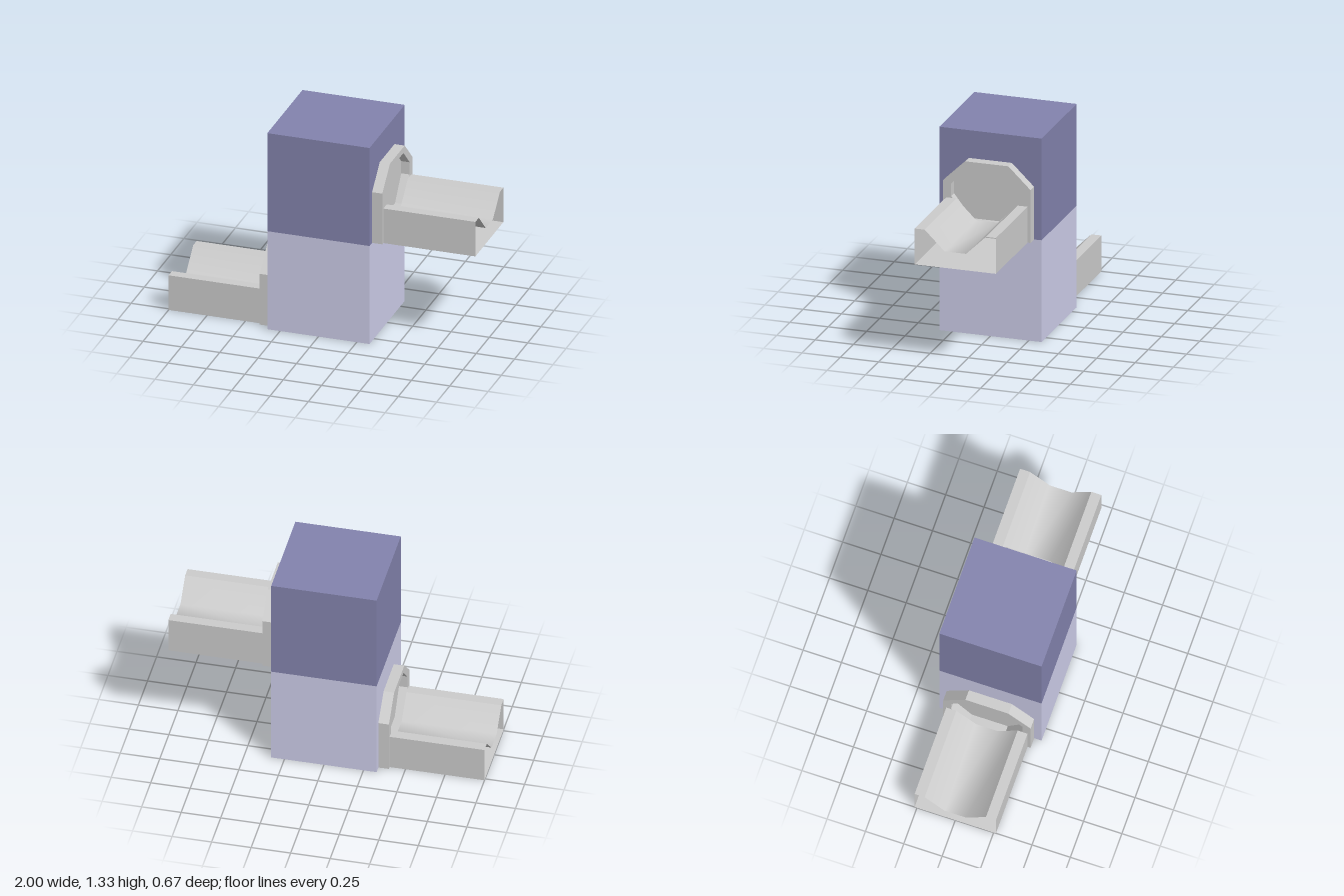
import * as THREE from 'three';

const grey = () => new THREE.MeshStandardMaterial({ color: 0xcccccc, side: THREE.DoubleSide });

// Mirrors the right half of an outline (top to bottom) to close it.
const mirrored = (half) => [...half, ...half.map(([x, y]) => [-x, y]).reverse()]
  .map(([x, y]) => new THREE.Vector2(x, y));

function add(parent, name, geometry, material) {
  const mesh = new THREE.Mesh(geometry, material);
  mesh.name = name;
  parent.add(mesh);
  return mesh;
}

// Open-ended sheet: sweeps a (z, y) profile along x.
function sweep(profile, x0, x1) {
  const positions = [], index = [];
  profile.forEach(([z, y], i) => {
    positions.push(x0, y, z, x1, y, z);
    if (i > 0) {
      const a = 2 * i - 2;
      index.push(a, a + 1, a + 2, a + 1, a + 3, a + 2);
    }
  });
  const g = new THREE.BufferGeometry();
  g.setAttribute('position', new THREE.Float32BufferAttribute(positions, 3));
  g.setIndex(index);
  g.computeVertexNormals();
  return g;
}

// Collar and open trough pointing along +x, standing on y = 0.
function createPort(name) {
  const port = new THREE.Group();
  port.name = name;

  // Chamfered collar with an eight-sided opening
  const shape = new THREE.Shape(mirrored([[0.14, 0.485], [0.285, 0.345], [0.285, 0]]));
  shape.holes.push(new THREE.Path(
    mirrored([[0.117, 0.445], [0.233, 0.33], [0.233, 0.247], [0.117, 0.097]])));
  const collar = new THREE.ExtrudeGeometry(shape, { depth: 0.067, bevelEnabled: false });
  collar.rotateY(Math.PI / 2).translate(0.333, 0, 0);
  add(port, 'collar', collar, grey());

  // Recessed plate closing the opening
  const plate = new THREE.ShapeGeometry(new THREE.Shape(shape.holes[0].getPoints()));
  plate.rotateY(Math.PI / 2).translate(0.345, 0, 0);
  add(port, 'openingPlate', plate, grey());

  // Trough: flat outer shell, then the softly shaded channel
  const shell = [[-0.2, 0.235], [-0.265, 0.235], [-0.265, 0], [0.265, 0], [0.265, 0.235], [0.2, 0.235]];
  add(port, 'troughShell', sweep(shell, 0.4, 1).toNonIndexed(), grey()).geometry.computeVertexNormals();
  const channel = [[0.2, 0.235], [0.07, 0.108], [-0.07, 0.108], [-0.2, 0.235]];
  add(port, 'troughChannel', sweep(channel, 0.4, 1), grey());
  return port;
}

export function createModel() {
  const model = new THREE.Group();
  const size = 0.6667;

  // Two stacked cubes
  [['lowerBlock', 0xcdcde9], ['upperBlock', 0x8383ad]].forEach(([name, color], i) => {
    const block = add(model, name, new THREE.BoxGeometry(size, size, size),
      new THREE.MeshStandardMaterial({ color }));
    block.position.y = size * (i + 0.5);
  });

  // High outlet on one side, low outlet on the other
  const upper = createPort('upperPort');
  upper.position.y = size;
  const lower = createPort('lowerPort');
  lower.rotation.y = Math.PI;
  model.add(upper, lower);
  return model;
}
